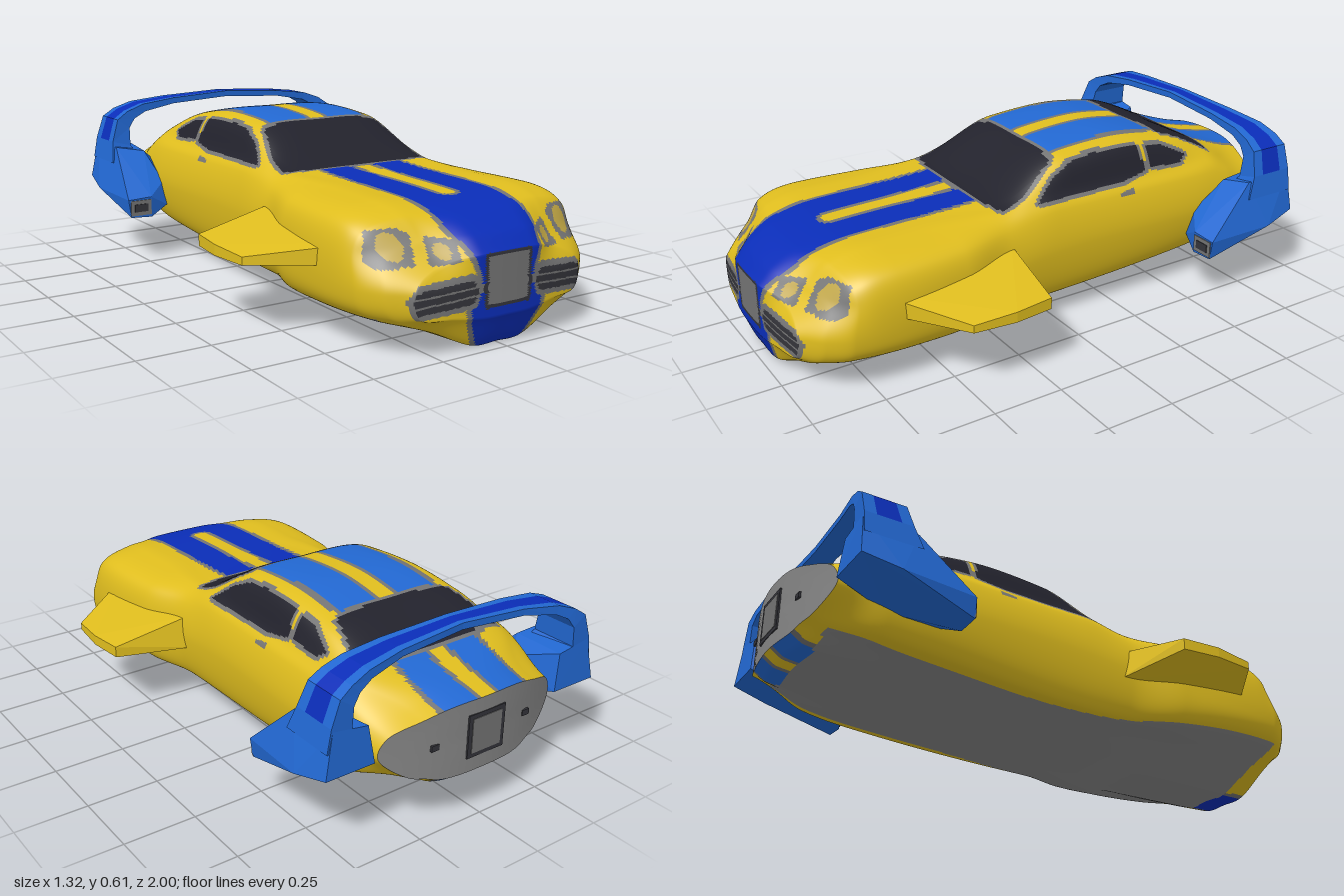
import * as THREE from 'three';
import { ConvexGeometry } from 'three/addons/geometries/ConvexGeometry.js';

const COLOURS = {
  yellow: 0xdfbd1e, darkBlue: 0x0a2db8, midBlue: 0x2268d2, glass: 0x22222c,
  frameGrey: 0x747474, floorGrey: 0x858585, lamp: 0xbfa544, grilleDark: 0x34343a,
};
const NAMES = Object.keys(COLOURS);
const [YELLOW, DARK, MID, GLASS, FRAME, FLOOR, LAMP, GRILLE] = NAMES.map((_, i) => i);
const { smoothstep, clamp } = THREE.MathUtils;

// Lengthwise body profiles: [station, value]
const WIDTH = [[-1, .36], [-.8, .39], [-.6, .4], [0, .385], [.2, .39], [.4, .44], [.65, .46], [.85, .445], [.95, .4], [1, .33]];
const KEEL = [[-1, .17], [-.95, .14], [.25, .05], [.5, 0], [.95, 0], [1, .1]];
const SILL = [[-1, .2], [-.6, .13], [.1, .09], [.6, .115], [1, .125]];
const BELT = [[-1, .39], [-.65, .46], [0, .46], [.2, .43], [.65, .428], [.85, .4], [.95, .335], [1, .275]];
const TOP = [[-1, .42], [-.8, .465], [-.55, .565], [-.3, .597], [-.1, .585], [.22, .44], [.7, .425], [.85, .4], [.95, .35], [1, .3]];

// Monotone cubic interpolation of a profile
function sample(t, s) {
  let i = 0;
  while (i < t.length - 2 && s > t[i + 1][0]) i++;
  const slope = k => (t[k + 1][1] - t[k][1]) / (t[k + 1][0] - t[k][0]);
  const tangent = k => {
    if (k === 0) return slope(0);
    if (k === t.length - 1) return slope(k - 1);
    const a = slope(k - 1), b = slope(k);
    return a * b <= 0 ? 0 : 2 * a * b / (a + b);
  };
  const h = t[i + 1][0] - t[i][0], u = clamp((s - t[i][0]) / h, 0, 1), v = 1 - u;
  return t[i][1] * (1 + 2 * u) * v * v + t[i + 1][1] * (3 - 2 * u) * u * u
    + h * (tangent(i) * u * v * v - tangent(i + 1) * u * u * v);
}

// Half cross-section at station s: keel, floor, underside, sill, waist, shoulder, belt, roof edge, top
function halfSection(s) {
  const w = sample(WIDTH, s), keel = sample(KEEL, s), belt = sample(BELT, s), top = sample(TOP, s);
  const cabin = smoothstep(s, -.95, -.7) * (1 - smoothstep(s, .1, .5));
  const floorX = .16 - .07 * smoothstep(s, 0, .5), sillY = sample(SILL, s);
  const sillX = w * (.75 + .13 * smoothstep(s, -1, -.75) + .06 * smoothstep(s, .1, .5));
  return [
    [0, keel], [floorX, keel], [(floorX + sillX) / 2, (keel + sillY) / 2],
    [sillX, sillY], [w, .28 - .1 * smoothstep(s, -.2, 1)],
    [w * .93, belt - .045], [w * (.63 + .21 * cabin), belt],
    [w * (.36 + .32 * cabin), belt + (top - belt) * .8], [0, top],
  ];
}

// Signed distance from a point to a polygon, negative inside
function distance(poly, px, py) {
  let d = Infinity, sign = 1;
  poly.forEach(([ax, ay], i) => {
    const [bx, by] = poly[(i + 1) % poly.length], ex = bx - ax, ey = by - ay;
    const k = clamp(((px - ax) * ex + (py - ay) * ey) / (ex * ex + ey * ey), 0, 1);
    d = Math.min(d, Math.hypot(px - ax - k * ex, py - ay - k * ey));
    if ((ay > py) !== (by > py) && px < ax + ex * (py - ay) / ey) sign = -sign;
  });
  return sign * d;
}

// Outlines of the painted details: seen from the front (x, y), top (x, z) or side (z, y)
const HEADLIGHT = [[.295, .275], [.275, .355], [.31, .375], [.4, .37], [.42, .29], [.4, .265]];
const INNER_LIGHT = [[.17, .28], [.165, .335], [.235, .345], [.25, .275]];
const LOWER_GRILLE = [[.13, .15], [.115, .195], [.14, .23], [.31, .212], [.335, .18], [.315, .135]];
const CENTRE_GRILLE = [[-.1, .14], [-.1, .288], [.08, .288], [.08, .14]];
const WINDSHIELD = [[-.1, .215], [.2, .21], [.3, .19], [.29, .1], [.24, -.045], [-.1, -.06]];
const REAR_WINDOW = [[-.1, -.525], [.2, -.53], [.235, -.55], [.29, -.73], [-.1, -.755]];
const DOOR_WINDOW = [[.06, .447], [-.02, .51], [-.1, .548], [-.2, .562], [-.39, .557], [-.41, .47], [-.3, .452]];
const QUARTER_WINDOW = [[-.435, .475], [-.435, .548], [-.5, .542], [-.6, .49], [-.57, .467]];
const DOOR_HANDLE = [[-.28, .41], [-.28, .42], [-.33, .425], [-.33, .415]];
const NOSE_WIDTH = [[0, .09], [.13, .14], [.2, .1], [.3, .13], [.38, .165], [.45, .165]];

// Twin stripes with a grey edge and a yellow centre line
function stripes(x, centre, width, blue) {
  if (centre < .03) return YELLOW;
  if (centre < .047) return FRAME;
  return x < width ? blue : x < width + .018 ? FRAME : YELLOW;
}

function bodyColour(px, y, z, rail) {
  const x = Math.abs(px);
  if (z > .74 && y > .11) {
    let d = distance(CENTRE_GRILLE, x, y);
    if (z > .9 && d < .012) return d < 0 ? FRAME : GRILLE;
    if (Math.hypot(x - .345, y - .325) < .038 || Math.hypot(x - .205, y - .308) < .022) return LAMP;
    if (distance(HEADLIGHT, x, y) < 0 || distance(INNER_LIGHT, x, y) < .004) return FRAME;
    d = distance(LOWER_GRILLE, x, y);
    if (d < .014) return d > 0 || (y + x * .08) % .026 < .006 ? FRAME : GRILLE;
  }
  if (y > .4) {
    const d = Math.min(distance(WINDSHIELD, x, z), distance(REAR_WINDOW, x, z));
    if (d < .014) return d < 0 ? GLASS : FRAME;
    if (x > .23) {
      const e = Math.min(distance(DOOR_WINDOW, z, y), distance(QUARTER_WINDOW, z, y));
      if (e < .011) return e < 0 ? GLASS : FRAME;
    }
  }
  if (x > .3 && distance(DOOR_HANDLE, z, y) < .004) return FRAME;
  if (rail < 2.5 + .4 * smoothstep(z, -.3, .4) && z < .86 && z > -.9) return FLOOR;
  if (z > .83 || (z > .2 && y > .3)) {
    const centre = y > .3 ? Math.hypot(x, Math.max(0, z - .69)) : 1;
    return stripes(x, centre, sample(NOSE_WIDTH, y), DARK);
  }
  if (y > .37 && z > -.54 && z < -.05) return stripes(x, x, .2, MID);
  if ((y > .37 && z < -.75) || z < -.9) return stripes(x, x, .165, MID);
  return YELLOW;
}

// Joins closed rings of points and sorts the faces into colour groups
function loft(rings, pick, materials) {
  const n = rings[0].length, buckets = materials.map(() => []), pts = rings.flat();
  for (let i = 0; i < rings.length - 1; i++) for (let j = 0; j < n; j++) {
    const k = (j + 1) % n, a = i * n + j, b = i * n + k, d = a + n, e = b + n;
    const centre = pts[a].clone().add(pts[b]).add(pts[d]).add(pts[e]).divideScalar(4);
    buckets[pick(centre, j, i)].push(a, b, e, a, e, d);
  }
  const g = new THREE.BufferGeometry().setFromPoints(pts);
  g.setIndex(buckets.flat());
  let start = 0;
  buckets.forEach((b, m) => { if (b.length) g.addGroup(start, b.length, m); start += b.length; });
  g.computeVertexNormals();
  return new THREE.Mesh(g, materials);
}

// One body ring at station s, shrunk by k towards the middle for the end faces
const STEPS = 18;
function bodyRing(s, k = 1) {
  const half = halfSection(s).map(([x, y]) => new THREE.Vector3(x, y, 0));
  const mirror = half.slice(1, -1).reverse().map(p => new THREE.Vector3(-p.x, p.y, 0));
  const curve = new THREE.CatmullRomCurve3([...half, ...mirror], true);
  const midY = s > 0 ? .2 : .29;
  const front = smoothstep(s, .7, 1), back = smoothstep(-s, .7, 1);
  return Array.from({ length: 16 * STEPS }, (_, j) => {
    const p = curve.getPoint(j / (16 * STEPS));
    p.x *= k;
    p.y = midY + (p.y - midY) * k;
    const lampSlope = .05 * smoothstep(Math.abs(p.x), .1, .25) * smoothstep(p.y, .2, .32);
    p.z = s - front * (.03 * (p.x / .3) ** 2 + lampSlope) + .065 * back * (p.x / .32) ** 2;
    return p;
  });
}

export function createModel() {
  const car = new THREE.Group();
  car.name = 'hoverCar';
  const mats = NAMES.map(name => new THREE.MeshStandardMaterial({ name, color: COLOURS[name] }));
  const add = (name, mesh) => { mesh.name = name; car.add(mesh); return mesh; };
  const plate = (name, w, h, x, y, z, m) =>
    add(name, new THREE.Mesh(new THREE.BoxGeometry(w, h, .008), mats[m])).position.set(x, y, z);
  const solid = (name, points, m) => add(name,
    new THREE.Mesh(new ConvexGeometry(points.map(p => new THREE.Vector3(...p))), mats[m]));

  // Body shell with a closed nose
  const rings = [];
  for (let i = 0; i <= 190; i++) rings.push(bodyRing(1 - 2 * (1 - i / 190) ** 1.3));
  for (let i = 19; i >= 0; i--) rings.push(bodyRing(1, i / 20));
  add('body', loft(rings, (c, j) => {
    const r = (j + .5) / STEPS;
    return bodyColour(c.x, c.y, c.z, Math.min(r, 16 - r));
  }, mats));

  // Tail panel with a square outlet and two small lights
  add('tailPanel', loft([0, .25, .5, .75, 1].map(k => bodyRing(-1, k)), () => FLOOR, mats));
  plate('outletFrame', .15, .15, 0, .295, -.998, GRILLE);
  plate('outlet', .12, .12, 0, .295, -1, FRAME);
  for (const side of [1, -1]) plate('tailLight', .03, .02, side * .19, .29, -.979, GRILLE);

  // Front fins and rear pods
  for (const side of [1, -1]) {
    const flip = pts => pts.map(([x, y, z]) => [side * x, y, z]);
    solid('frontFin', flip([
      [.36, .24, .72], [.36, .31, .72], [.36, .22, .16], [.36, .335, .19],
      [.645, .235, .51], [.645, .262, .51], [.66, .235, .36], [.66, .272, .36], [.645, .235, .22], [.645, .275, .22],
    ]), YELLOW);
    solid('rearPod', flip([
      [.47, .165, -.54], [.555, .17, -.54], [.565, .24, -.54], [.47, .245, -.54], [.39, .2, -.57], [.39, .29, -.6],
      [.58, .25, -.8], [.56, .28, -.93], [.38, .28, -.93], [.36, .22, -.75], [.36, .35, -.75],
      [.53, .43, -.92], [.4, .41, -.92], [.53, .42, -.73], [.42, .4, -.71],
    ]), MID);
    plate('podIntakeFrame', .085, .06, side * .514, .206, -.54, FRAME);
    plate('podIntake', .055, .03, side * .514, .206, -.537, GRILLE);
  }

  // Arched rear wing: outer x, outer y, inner x, inner y, front z, back z
  const half = [
    [.55, .36, .42, .36, -.72, -.92], [.535, .44, .46, .42, -.75, -.92], [.505, .525, .455, .49, -.765, -.92],
    [.46, .555, .43, .525, -.77, -.915], [.39, .58, .38, .55, -.775, -.905], [.25, .597, .25, .574, -.78, -.885],
    [0, .61, 0, .587, -.79, -.87],
  ];
  const stations = [...half, ...half.slice(0, -1).reverse().map(([a, b, c, ...r]) => [-a, b, -c, ...r])];
  const wing = loft(stations.map(([xo, yo, xi, yi, zf, zb]) => [
    [xo, yo, zf], [xo, yo, zf + (zb - zf) * .25], [xo, yo, zf + (zb - zf) * .75],
    [xo, yo, zb], [xi, yi, zb], [xi, yi, zf],
  ].map(p => new THREE.Vector3(...p))), (c, j, i) => (j === 1 && i > 0 && i < 11 ? DARK : MID), mats);
  wing.geometry = wing.geometry.toNonIndexed();
  wing.geometry.computeVertexNormals();
  add('rearWing', wing);
  return car;
}
